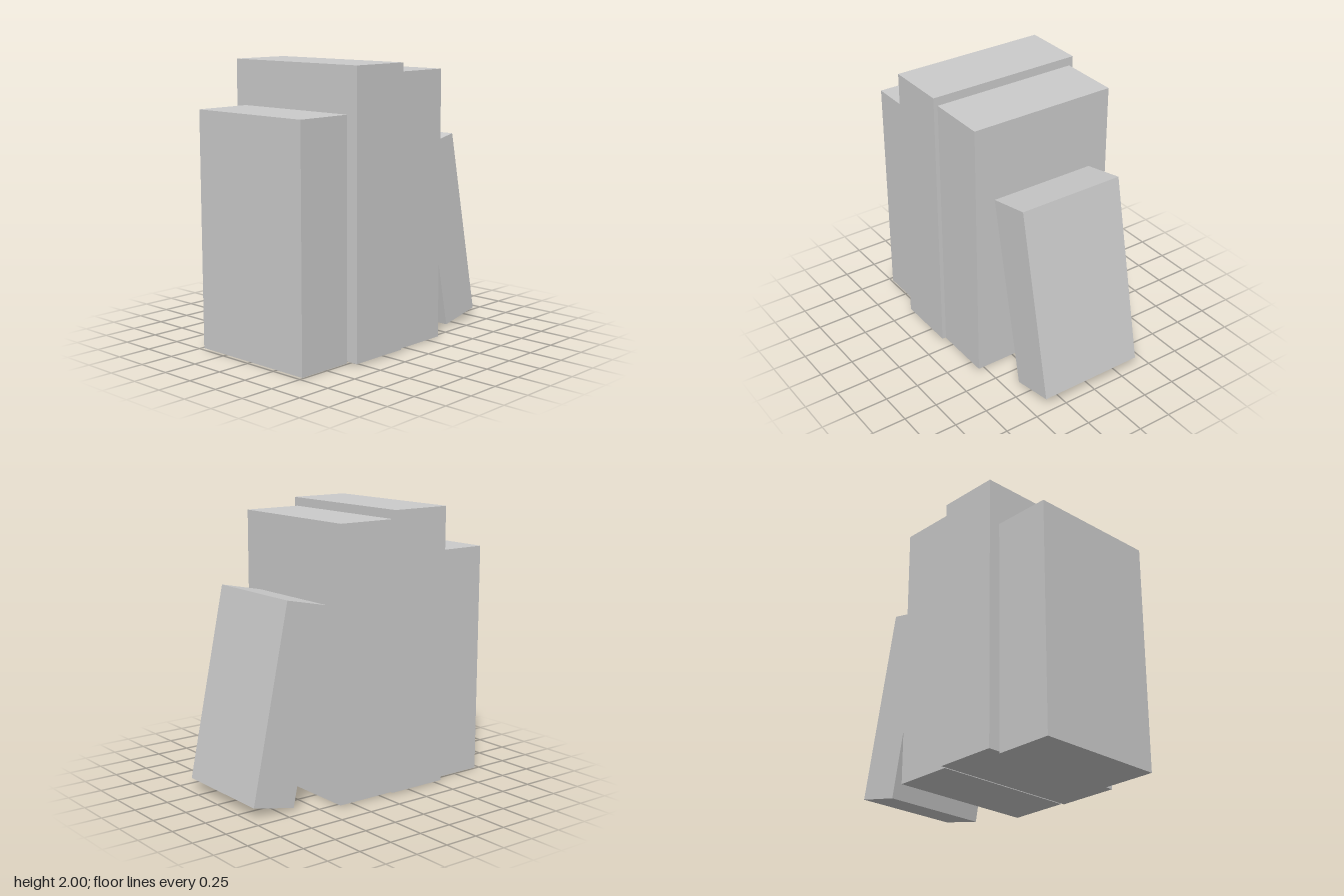
import * as THREE from 'three';

const material = new THREE.MeshStandardMaterial({ color: 0xcccccc, flatShading: true });

// A plain closed book: width (x), height (y), thickness (z)
function makeBook(name, width, height, thickness) {
  const book = new THREE.Mesh(new THREE.BoxGeometry(width, height, thickness), material);
  book.name = name;
  return book;
}

export function createModel() {
  const group = new THREE.Group();
  group.name = 'bookRow';

  // Upright books: [name, width, bottom, top, back z, front z]
  const upright = [
    ['frontBook', 0.975, 0, 1.678, 0.542, 0.967],
    ['tallBook', 1.152, 0.013, 2, 0.087, 0.542],
    ['backBook', 1.092, 0.008, 1.937, -0.354, 0.087],
  ];
  for (const [name, width, bottom, top, back, front] of upright) {
    const book = makeBook(name, width, top - bottom, front - back);
    book.position.set(0, (bottom + top) / 2, (back + front) / 2);
    group.add(book);
  }

  // Small book leaning forward against the row
  const leaning = makeBook('leaningBook', 0.792, 1.396, 0.331);
  leaning.position.set(0, 0.728, -0.659);
  leaning.rotation.x = 0.206;
  group.add(leaning);

  return group;
}
